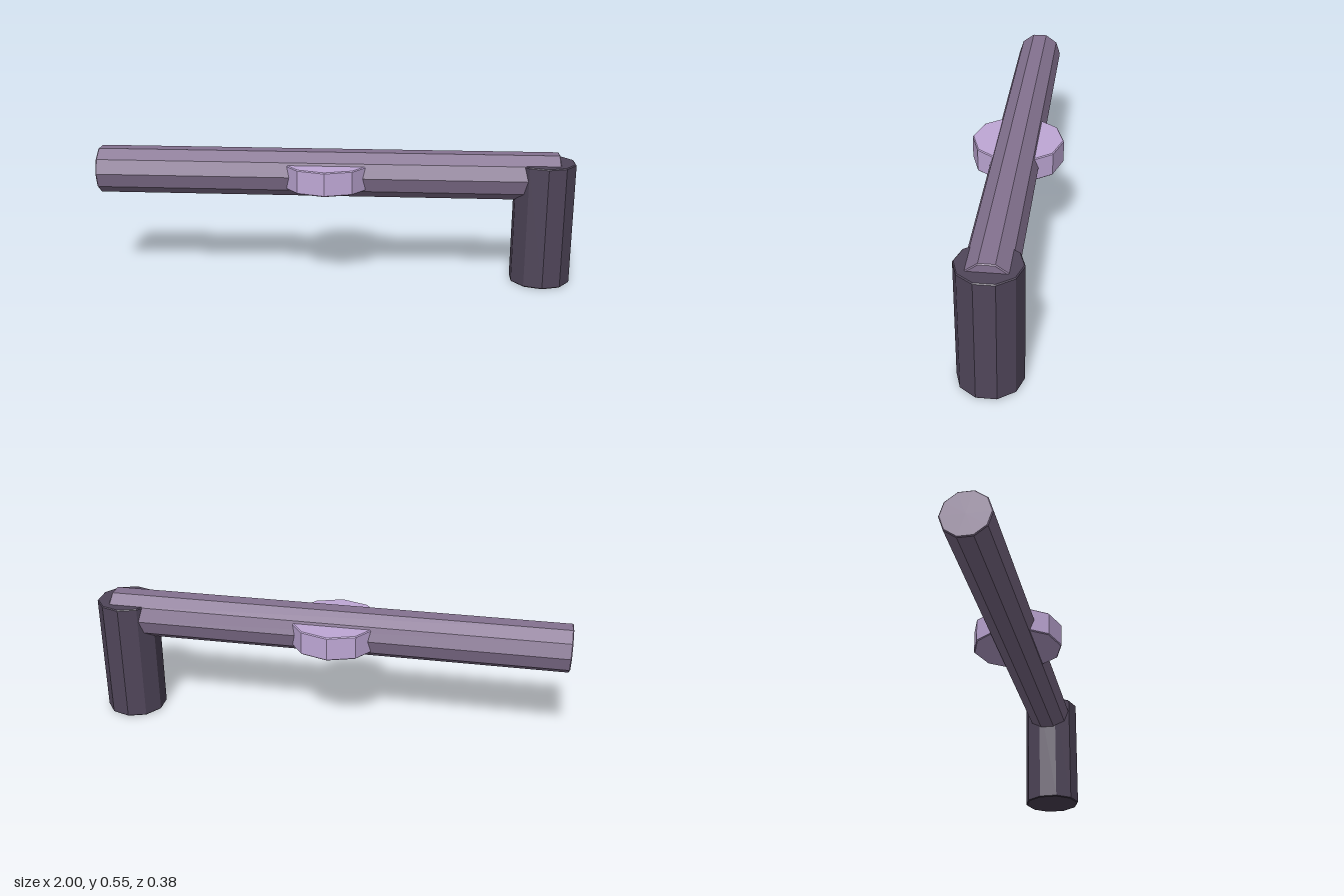
import * as THREE from 'three';

const paint = (name, color) => {
  const m = new THREE.MeshStandardMaterial({ color, flatShading: true });
  m.name = name;
  return m;
};

// Ten-sided prism with finely bevelled ends, corners pointing along +z and -z
function prism(name, radius, length, material) {
  const b = 0.004, h = length / 2;
  const profile = [[0, -h], [radius - b, -h], [radius, b - h], [radius, h - b], [radius - b, h], [0, h]]
    .map(([x, y]) => new THREE.Vector2(x, y));
  const mesh = new THREE.Mesh(new THREE.LatheGeometry(profile, 10), material);
  mesh.name = name;
  return mesh;
}

export function createModel() {
  const model = new THREE.Group();
  model.name = 'crankHandle';

  // Long horizontal bar
  const bar = prism('bar', 0.1, 1.935, paint('mauve', 0x857391));
  bar.rotation.z = Math.PI / 2;
  bar.position.set(-0.0325, 0.457, 0);

  // Hub disc through the middle of the bar
  const hub = prism('hubDisc', 0.192, 0.102, paint('lilac', 0xbfa8d6));
  hub.position.set(-0.03, 0.454, 0);

  // Upright grip at the end of the bar
  const grip = prism('grip', 0.128, 0.518, paint('dark plum', 0x50465a));
  grip.position.set(0.878, 0.259, 0);

  model.add(bar, hub, grip);
  return model;
}
